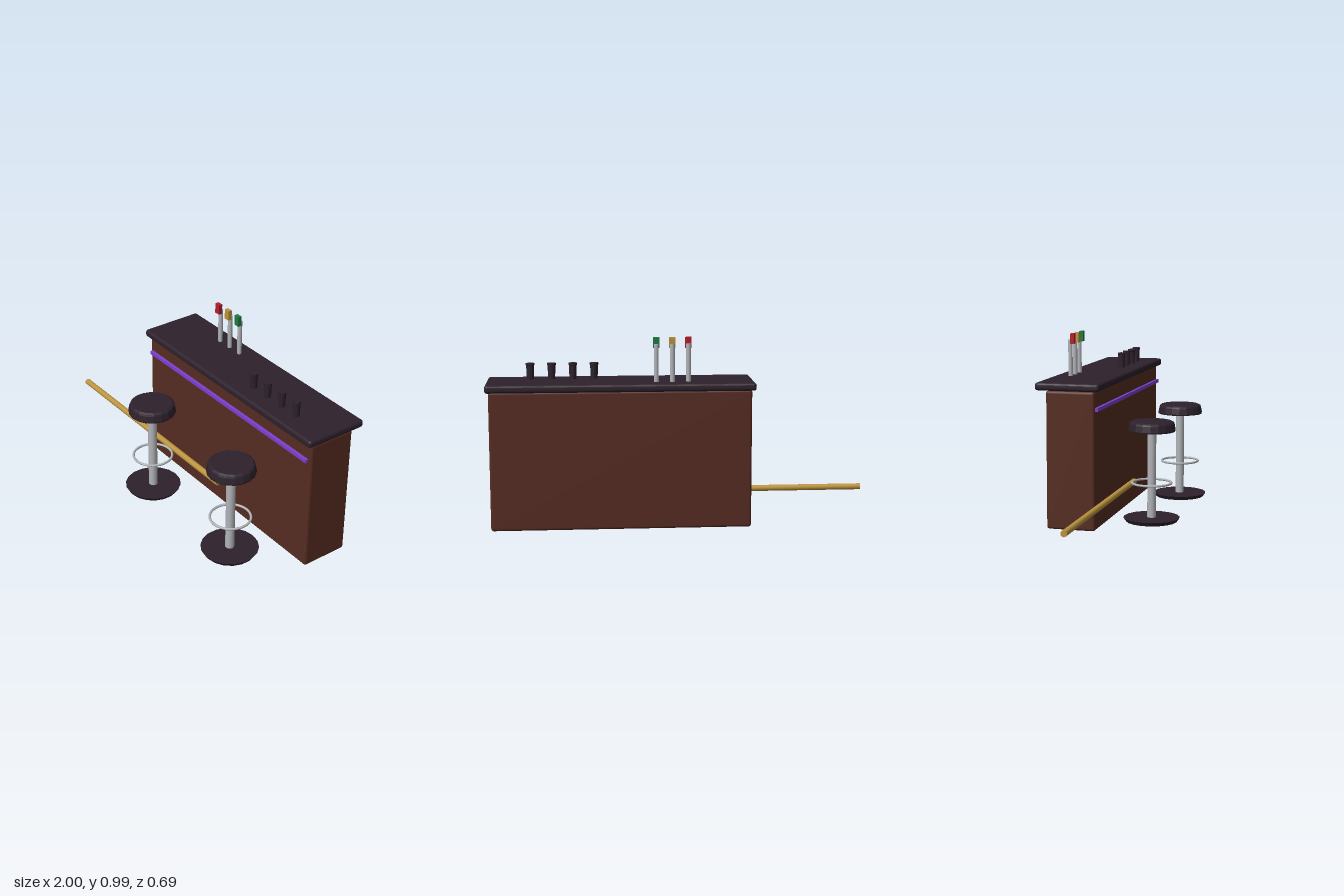
import * as THREE from 'three';
import { RoundedBoxGeometry } from 'three/addons/geometries/RoundedBoxGeometry.js';

const mat = (name, color, flatShading = false) => {
  const m = new THREE.MeshStandardMaterial({ color, flatShading });
  m.name = name;
  return m;
};

export function createModel() {
  const wood = mat('darkWood', 0x562c22);
  const dark = mat('darkPlum', 0x2d212c, true);
  const steel = mat('steel', 0xb2b5b9);
  const brass = mat('brass', 0xbc943e);
  const purple = mat('purpleLight', 0x7e3fd0);
  const red = mat('red', 0xb01f2e);
  const green = mat('green', 0x1f7a42);

  const bar = new THREE.Group();
  bar.name = 'bar';

  const add = (parent, name, geometry, material, x, y, z) => {
    const mesh = new THREE.Mesh(geometry, material);
    mesh.name = name;
    mesh.position.set(x, y, z);
    parent.add(mesh);
    return mesh;
  };
  const lathe = (points, sides) =>
    new THREE.LatheGeometry(points.map(([r, y]) => new THREE.Vector2(r, y)), sides);

  // Counter with its overhanging top and light strip
  add(bar, 'counterBody', new RoundedBoxGeometry(1.35, 0.725, 0.26, 3, 0.014), wood, 0.31, 0.3625, -0.158);
  add(bar, 'counterTop', new RoundedBoxGeometry(1.38, 0.041, 0.344, 3, 0.015), dark, 0.31, 0.7465, -0.172);
  add(bar, 'lightStrip', new THREE.BoxGeometry(1.312, 0.019, 0.018), purple, 0.308, 0.633, -0.021);

  // Foot rail
  const rail = add(bar, 'footRail', new THREE.CylinderGeometry(0.0165, 0.0165, 1.305, 16), brass, -0.3475, 0.14, 0.008);
  rail.rotation.z = Math.PI / 2;

  // Stools
  const seat = lathe([[0, 0.487], [0.125, 0.487], [0.127, 0.494], [0.121, 0.525],
    [0.117, 0.534], [0.107, 0.54], [0, 0.54]], 18);
  for (const x of [-0.037, 0.652]) {
    const stool = new THREE.Group();
    stool.name = 'stool';
    stool.position.set(x, 0, 0.194);
    bar.add(stool);
    add(stool, 'stoolBase', new THREE.CylinderGeometry(0.151, 0.137, 0.021, 18), dark, 0, 0.0105, 0);
    add(stool, 'stoolPost', new THREE.CylinderGeometry(0.024, 0.024, 0.475, 12), steel, 0, 0.255, 0);
    add(stool, 'stoolSeat', seat, dark, 0, 0, 0);
    const ring = add(stool, 'footRing', new THREE.TorusGeometry(0.105, 0.0065, 8, 28), steel, 0, 0.208, 0);
    ring.rotation.x = Math.PI / 2;
  }

  // Beer taps with coloured handles
  [red, brass, green].forEach((material, i) => {
    const x = -0.037 + i * 0.0825;
    add(bar, 'tapPost', new THREE.CylinderGeometry(0.0125, 0.0125, 0.195, 10), steel, x, 0.8635, -0.255);
    add(bar, 'tapHandle', new THREE.BoxGeometry(0.033, 0.055, 0.021), material, x, 0.967, -0.241);
  });

  // Row of glasses
  const glass = lathe([[0, 0.765], [0.018, 0.765], [0.0205, 0.838], [0.0225, 0.84], [0.0225, 0.85], [0, 0.85]], 12);
  for (let i = 0; i < 4; i++) add(bar, 'glass', glass, dark, 0.444 + i * 0.1105, 0, -0.102);

  return bar;
}
